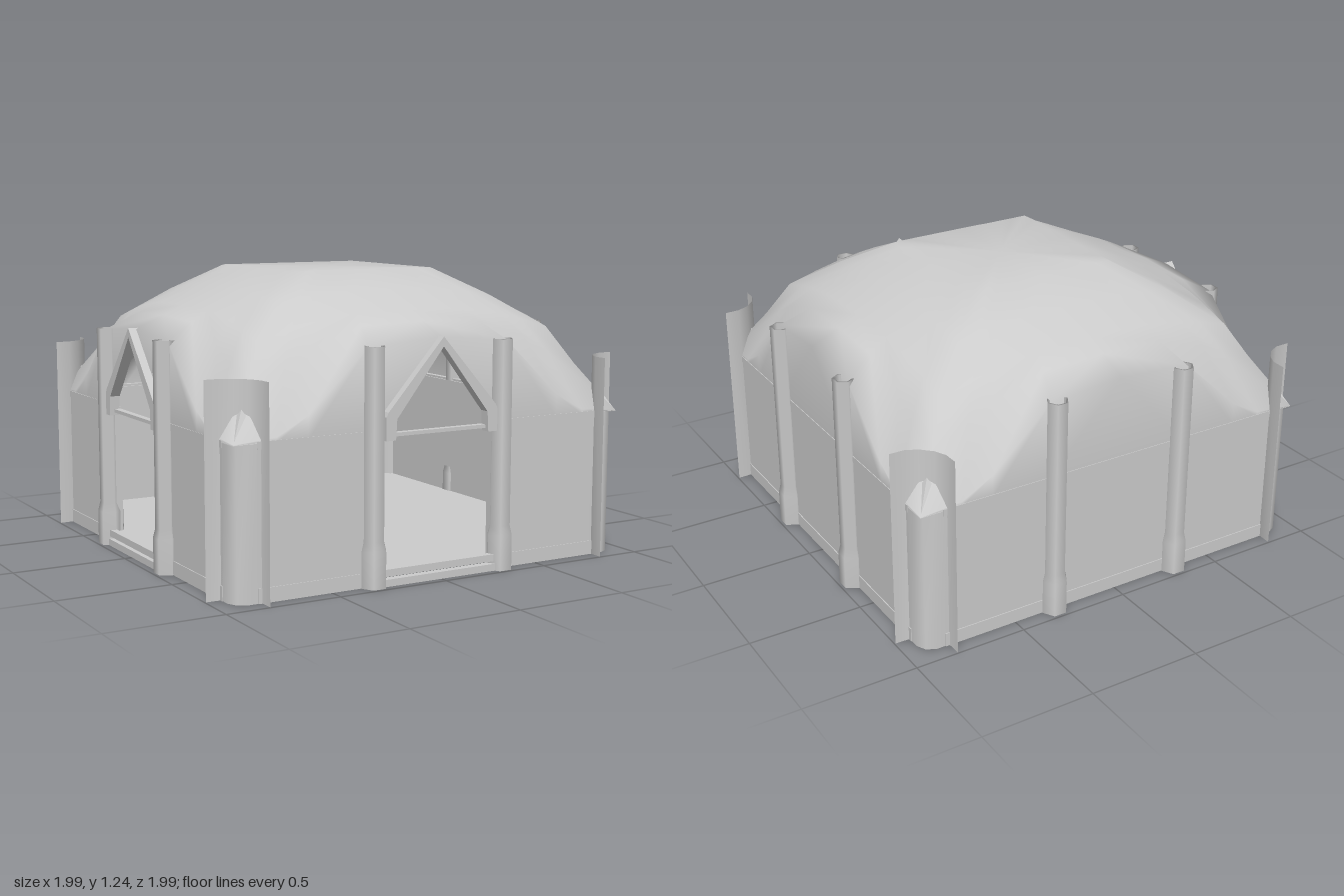
import * as THREE from 'three';

const W = 0.93;       // half width of the walls
const WALL = 0.625;   // wall height
const mat = new THREE.MeshStandardMaterial({ color: 0xcccccc, side: THREE.DoubleSide });

function add(parent, name, geo, x = 0, y = 0, z = 0) {
  const m = new THREE.Mesh(geo, mat);
  m.name = name;
  m.position.set(x, y, z);
  parent.add(m);
  return m;
}

// Square dome with side arches: heights per ring, from mid side to corner
function domeGeometry(doorSides) {
  const half = [0, 0.36, 0.65, 0.8, 1];
  const rings = [
    [0, [1.24, 1.24, 1.24, 1.24, 1.24]],
    [0.345, [1.24, 1.24, 1.24, 1.24, 1.24]],
    [0.53, [1.165, 1.165, 1.15, 1.14, 1.125]],
    [0.71, [1.09, 1.085, 1.055, 1.03, 0.99]],
    [0.8, [1.05, 1.04, 0.965, 0.9, 0.83]],
    [W, [0.995, 0.97, 0.72, 0.645, 0.63]],
    [W, [WALL, WALL, WALL, WALL, WALL]],   // foot of the arches
  ];
  const cols = [4, 3, 2, 1, 0, 1, 2, 3];
  const around = cols.length * 4, pos = [], index = [];
  rings.forEach(([r, heights], i) => {
    for (let j = 0; j < around; j++) {
      const k = Math.floor(j / 8), n = cols[j % 8];
      const s = half[n] * (j % 8 < 4 ? -1 : 1);
      const gableTop = i === 6 && n === 0 && doorSides.includes(k);
      const a = k * Math.PI / 2, c = Math.cos(a), d = Math.sin(a);
      pos.push(r * (s * c + d), gableTop ? 0.97 : heights[n], r * (-s * d + c));
      if (i < rings.length - 1) {
        const j2 = (j + 1) % around, p = i * around, q = p + around;
        // mirror the diagonal of each quad about the middle of the side
        if (j % 8 < 4) index.push(p + j, q + j, p + j2, q + j, q + j2, p + j2);
        else index.push(p + j, q + j, q + j2, p + j, q + j2, p + j2);
      }
    }
  });
  const g = new THREE.BufferGeometry();
  g.setAttribute('position', new THREE.Float32BufferAttribute(pos, 3));
  g.setIndex(index);
  g.computeVertexNormals();
  return g;
}

// Thin upright sheet following a plan path of [x, z] points
function sheet(path, height) {
  const pos = [], index = [];
  path.forEach(([x, z], i) => {
    pos.push(x, 0, z, x, height, z);
    const a = i * 2;
    if (i < path.length - 1) index.push(a, a + 2, a + 3, a, a + 3, a + 1);
  });
  const g = new THREE.BufferGeometry();
  g.setAttribute('position', new THREE.Float32BufferAttribute(pos, 3));
  g.setIndex(index);
  g.computeVertexNormals();
  return g;
}

const polygon = pts => new THREE.Shape(pts.map(p => new THREE.Vector2(...p)));
const extrude = (shape, depth) => new THREE.ExtrudeGeometry(shape, { depth, bevelEnabled: false });

// Gabled doorway with sill
function addDoor(side) {
  const door = new THREE.Group();
  door.name = 'doorway';
  side.add(door);
  add(door, 'sill', new THREE.BoxGeometry(0.54, 0.03, 0.035), 0, 0.015, 0.948);
  add(door, 'sillTop', new THREE.BoxGeometry(0.54, 0.03, 0.03), 0, 0.055, 0.945);
  add(door, 'lintel', new THREE.BoxGeometry(0.46, 0.015, 0.03), 0, 0.615, 0.93);
  for (const sx of [-1, 1]) {
    const rafter = polygon([[0, 1], [0.26, 0.71], [0.27, 0.69], [0.27, 0.595], [0.225, 0.595], [0.22, 0.68], [0, 0.96]]
      .map(([x, y]) => [sx * x, y]));
    add(door, 'gableRafter', extrude(rafter, 0.045), 0, 0, 0.92);
  }
}

export function createModel() {
  const root = new THREE.Group();
  root.name = 'domedHall';
  const doorSides = [0, 3];   // front and -x side

  add(root, 'dome', domeGeometry(doorSides));

  // raised floor with cut corners
  const f = 0.92, c = 0.85;
  const floor = polygon([[-c, -f], [c, -f], [f, -c], [f, c], [c, f], [-c, f], [-f, c], [-f, -c]]);
  add(root, 'floor', extrude(floor, 0.015), 0, 0.06, 0).rotation.x = Math.PI / 2;
  add(root, 'floorDisc', new THREE.CylinderGeometry(0.1, 0.1, 0.015, 16), 0, 0.067, 0);
  add(root, 'floorPin', new THREE.CylinderGeometry(0.008, 0.008, 0.1, 8), 0, 0.115, 0);

  const pillarProfile = [[0.057, 0], [0.057, 0.15], [0.047, 0.19], [0.047, 0.975], [0.038, 0.975], [0.038, 0]]
    .map(p => new THREE.Vector2(...p));
  const pillar = new THREE.LatheGeometry(pillarProfile, 6, Math.PI / 2);
  const shield = sheet([[0.81, 0.995], [0.812, 0.93], [0.835, 0.88], [0.88, 0.835],
    [0.93, 0.812], [0.995, 0.81]], 0.87);
  const post = sheet([[0.8, W], [0.87, W], [0.91, 0.91], [W, 0.87], [W, 0.8]], WALL);
  const cap = new THREE.ConeGeometry(0.1, 0.125, 4).toNonIndexed();
  cap.computeVertexNormals();

  for (let k = 0; k < 4; k++) {
    const side = new THREE.Group();
    side.name = 'side';
    side.rotation.y = k * Math.PI / 2;
    root.add(side);
    const hasDoor = doorSides.includes(k);

    // walls with trims, split around a doorway
    const spans = hasDoor ? [[-0.83, -0.27], [0.27, 0.83]] : [[-0.83, 0.83]];
    for (const [a, b] of spans) {
      const mid = (a + b) / 2;
      add(side, 'wall', new THREE.BoxGeometry(b - a, WALL, 0.035), mid, WALL / 2, W - 0.0175);
      add(side, 'wallTopTrim', new THREE.BoxGeometry(b - a, 0.03, 0.03), mid, 0.62, 0.918);
      add(side, 'baseTrim', new THREE.BoxGeometry(b - a, 0.06, 0.02), mid, 0.03, 0.924);
    }
    for (const sx of [-1, 1]) add(side, 'pillar', pillar, sx * 0.31, 0, 0.937);
    if (hasDoor) addDoor(side);

    // corner post, its pointed cap and the flared corner shield
    add(side, 'cornerPost', post);
    add(side, 'cornerCap', cap, 0.86, 0.69, 0.86).rotation.y = Math.PI / 4;
    add(side, 'cornerShield', shield);
  }
  return root;
}
